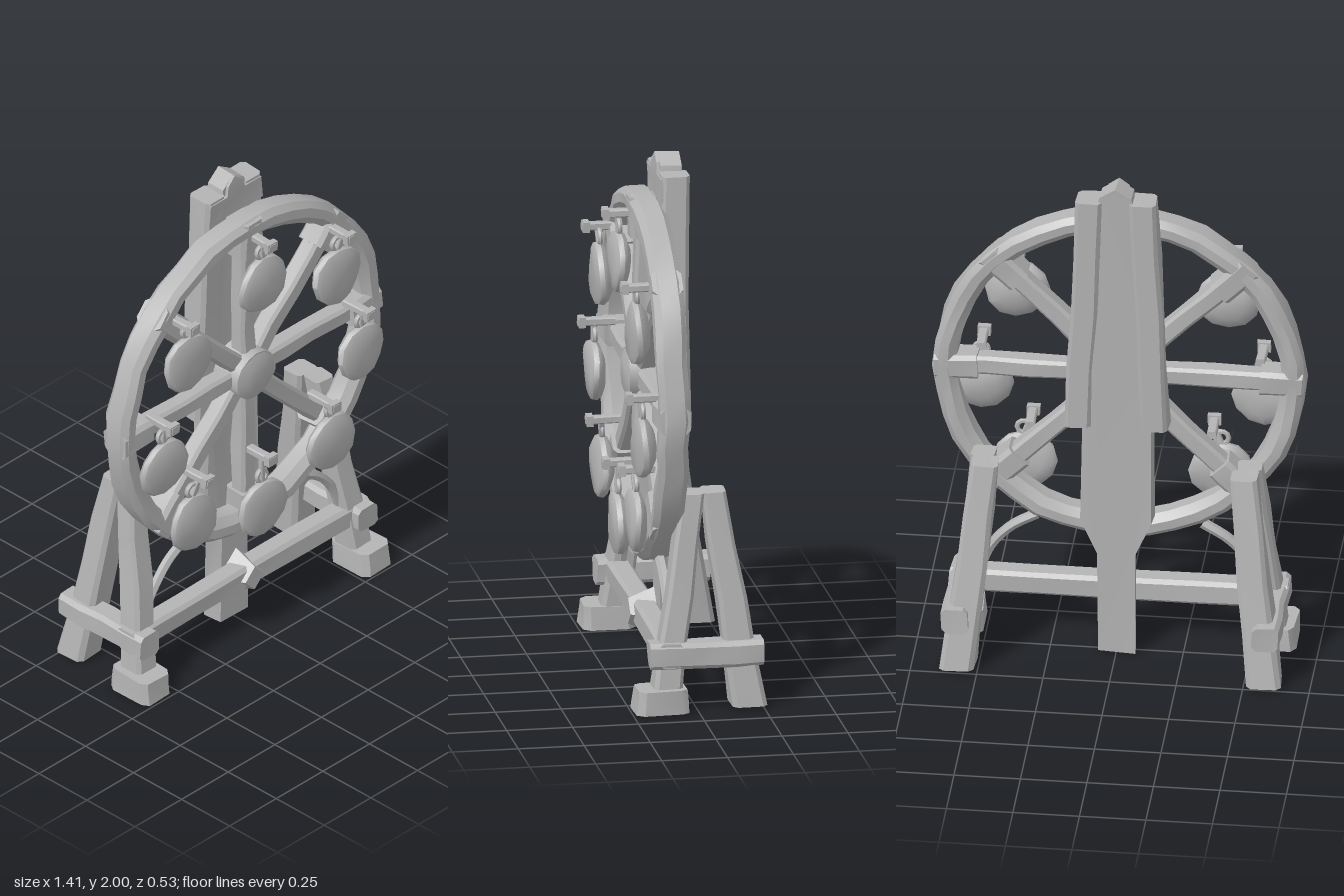
import * as THREE from 'three';
import { toCreasedNormals } from 'three/addons/utils/BufferGeometryUtils.js';

const stone = new THREE.MeshStandardMaterial({ color: 0xb4b4b4 });
stone.name = 'weathered grey';

const WHEEL_Y = 1.145, WHEEL_Z = 0.1;

// Slight hand-carved unevenness that depends only on position
function carve(geo, a = 0.005) {
  const p = geo.attributes.position;
  for (let i = 0; i < p.count; i++) {
    const x = p.getX(i), y = p.getY(i), z = p.getZ(i);
    p.setXYZ(i,
      x + a * Math.sin(17 * y + 23 * z + 3 * x),
      y + a * 0.5 * Math.sin(19 * x + 13 * z),
      z + a * Math.sin(15 * x + 21 * y));
  }
  return geo;
}

function add(parent, name, geo, wobble = 0.004) {
  const mesh = new THREE.Mesh(toCreasedNormals(carve(geo, wobble), 0.6), stone);
  mesh.name = name;
  parent.add(mesh);
  return mesh;
}

// Rectangle with cut corners
function chamfered(w, h, c) {
  const x = w / 2, y = h / 2;
  return new THREE.Shape([[-x + c, -y], [x - c, -y], [x, -y + c], [x, y - c],
    [x - c, y], [-x + c, y], [-x, y - c], [-x, -y + c]].map(([a, b]) => new THREE.Vector2(a, b)));
}

// Chamfered beam with ends square to its direction; w across, d in depth
function beam(a, b, w, d) {
  const from = new THREE.Vector3(...a), to = new THREE.Vector3(...b);
  const dir = to.clone().sub(from), len = dir.length();
  const geo = new THREE.ExtrudeGeometry(chamfered(w, d, Math.min(w, d) * 0.16),
    { depth: len, steps: 4, bevelEnabled: false });
  const zAxis = dir.normalize();
  const ref = Math.abs(zAxis.z) > 0.9 ? new THREE.Vector3(0, 1, 0) : new THREE.Vector3(0, 0, 1);
  const yAxis = ref.sub(zAxis.clone().multiplyScalar(ref.dot(zAxis))).normalize();
  const xAxis = yAxis.clone().cross(zAxis);
  return geo.applyMatrix4(new THREE.Matrix4().makeBasis(xAxis, yAxis, zAxis).setPosition(from));
}

// Leaning post with level ends; tapers from size s0 to s1
function leaningPost(a, b, s0, s1) {
  const geo = new THREE.ExtrudeGeometry(chamfered(1, 1, 0.14),
    { depth: 1, steps: 4, bevelEnabled: false }).rotateX(-Math.PI / 2);
  const p = geo.attributes.position, mix = THREE.MathUtils.lerp;
  for (let i = 0; i < p.count; i++) {
    const t = p.getY(i);
    p.setXYZ(i, mix(a[0], b[0], t) + p.getX(i) * mix(s0[0], s1[0], t), mix(a[1], b[1], t),
      mix(a[2], b[2], t) + p.getZ(i) * mix(s0[1], s1[1], t));
  }
  return geo;
}

function slab(points, z0, z1) {
  const shape = new THREE.Shape(points.map(([x, y]) => new THREE.Vector2(x, y)));
  return new THREE.ExtrudeGeometry(shape, { depth: z1 - z0, bevelEnabled: false }).translate(0, 0, z0);
}

function buildPost() {
  const post = new THREE.Group();
  post.name = 'centralPost';
  const half = [[0.07, 0], [0.07, 0.42], [0.135, 0.56], [0.13, 1.0], [0.07, 1.9], [0.06, 1.96]];
  const left = half.map(([x, y]) => [-x, y]).reverse();
  add(post, 'postCore', slab([...half, [0, 2], ...left], -0.03, 0.05));
  for (const s of [-1, 1]) {
    add(post, 'postFlank', leaningPost([s * 0.145, 0.97, 0.005], [s * 0.1, 1.94, 0.005],
      [0.1, 0.105], [0.1, 0.105]));
  }
  add(post, 'postCap', slab([[-0.14, 1.84], [0.14, 1.84], [0.14, 1.93], [0.05, 1.93],
    [0.04, 1.97], [0, 2], [-0.04, 1.97], [-0.05, 1.93], [-0.14, 1.93]], -0.02, 0.062));
  return post;
}

function buildWheel() {
  const wheel = new THREE.Group();
  wheel.name = 'wheel';
  wheel.position.set(0, WHEEL_Y, WHEEL_Z);
  // Bevelled rim
  const section = [[0.61, -0.03], [0.64, -0.058], [0.675, -0.058], [0.698, -0.035], [0.698, 0.035],
    [0.675, 0.058], [0.64, 0.058], [0.61, 0.03], [0.61, -0.03]];
  add(wheel, 'rim', new THREE.LatheGeometry(section.map(([r, y]) => new THREE.Vector2(r, y)), 40)
    .rotateX(Math.PI / 2), 0.005);
  for (let i = 0; i < 8; i++) {
    const a = i * Math.PI / 4, c = Math.cos(a), s = Math.sin(a);
    add(wheel, 'spoke', beam([c * 0.05, s * 0.05, 0], [c * 0.64, s * 0.64, 0], 0.075, 0.075));
    add(wheel, 'rimClamp', beam([c * 0.53, s * 0.53, 0], [c * 0.69, s * 0.69, 0], 0.1, 0.115));
  }
  add(wheel, 'hub', new THREE.CylinderGeometry(0.1, 0.115, 0.12, 14).rotateX(Math.PI / 2)
    .translate(0, 0, 0.005));
  add(wheel, 'hubCap', new THREE.CylinderGeometry(0.06, 0.1, 0.015, 14).rotateX(Math.PI / 2)
    .translate(0, 0, 0.072), 0.002);
  return wheel;
}

// Round pod hanging from a short arm and ring
function buildPod([x, y, armX, armY, r]) {
  const pod = new THREE.Group();
  pod.name = 'hangingPod';
  const profile = [[0, -0.035], [0.55, -0.03], [0.88, -0.012], [1, 0.005], [0.96, 0.024], [0.8, 0.034], [0, 0.038]];
  add(pod, 'podBody', new THREE.LatheGeometry(profile.map(([k, h]) => new THREE.Vector2(k * r, h)), 12)
    .rotateX(Math.PI / 2).translate(x, y, 0.188), 0.005);
  const top = y + r;
  add(pod, 'hookArm', beam([armX, armY, 0.12], [armX, armY, 0.26], 0.035, 0.03), 0.002);
  add(pod, 'hookTip', new THREE.BoxGeometry(0.05, 0.04, 0.025).translate(armX, armY, 0.245), 0.002);
  const drop = beam([armX, armY, 0.2], [x, top - 0.01, 0.195], 0.022, 0.022);
  add(pod, 'hanger', drop, 0.002);
  add(pod, 'hangerRing', new THREE.TorusGeometry(0.026, 0.01, 6, 10).translate(x, top + 0.02, 0.195), 0.002);
  return pod;
}

function buildSide(s) {
  const side = new THREE.Group();
  side.name = s > 0 ? 'leftTrestle' : 'rightTrestle';
  add(side, 'frontLeg', leaningPost([s * 0.578, 0.05, 0.12], [s * 0.5, 0.82, 0.005], [0.11, 0.11], [0.09, 0.085]));
  add(side, 'backLeg', leaningPost([s * 0.575, 0.01, -0.195], [s * 0.485, 0.82, -0.075], [0.13, 0.13], [0.1, 0.09]));
  add(side, 'foot', leaningPost([s * 0.588, 0, 0.14], [s * 0.588, 0.09, 0.14], [0.155, 0.2], [0.145, 0.185]));
  add(side, 'sideRail', beam([s * 0.585, 0.215, -0.25], [s * 0.585, 0.215, 0.18], 0.1, 0.1));
  // Curved brace between leg and rim
  const curve = new THREE.CatmullRomCurve3([[0.52, 0.27], [0.48, 0.37], [0.41, 0.45], [0.31, 0.51]]
    .map(([x, y]) => new THREE.Vector3(s * x, y, 0.09)));
  add(side, 'curvedBrace', new THREE.TubeGeometry(curve, 10, 0.02, 6), 0.002);
  return side;
}

export function createModel() {
  const model = new THREE.Group();
  model.name = 'waterWheelStand';
  model.add(buildPost(), buildWheel(), buildSide(1), buildSide(-1));

  // Pods: centre x, y, arm x, y, radius
  const pods = [[0, 1.58, 0, 1.77, 0.12], [0, 0.565, 0, 0.8, 0.122]];
  for (const s of [-1, 1]) {
    pods.push([s * 0.4, 1.42, s * 0.42, 1.6, 0.123], [s * 0.53, 1.01, s * 0.525, 1.2, 0.118],
      [s * 0.37, 0.68, s * 0.34, 0.87, 0.122]);
  }
  for (const p of pods) model.add(buildPod(p));

  // Front tie beam with a diamond boss in the middle
  add(model, 'crossBeam', beam([-0.63, 0.218, 0.1], [0.63, 0.218, 0.1], 0.095, 0.09));
  add(model, 'crossBeamBoss', new THREE.CylinderGeometry(0.05, 0.09, 0.1, 4).rotateX(Math.PI / 2)
    .translate(0, 0.22, 0.11), 0.002);
  return model;
}
